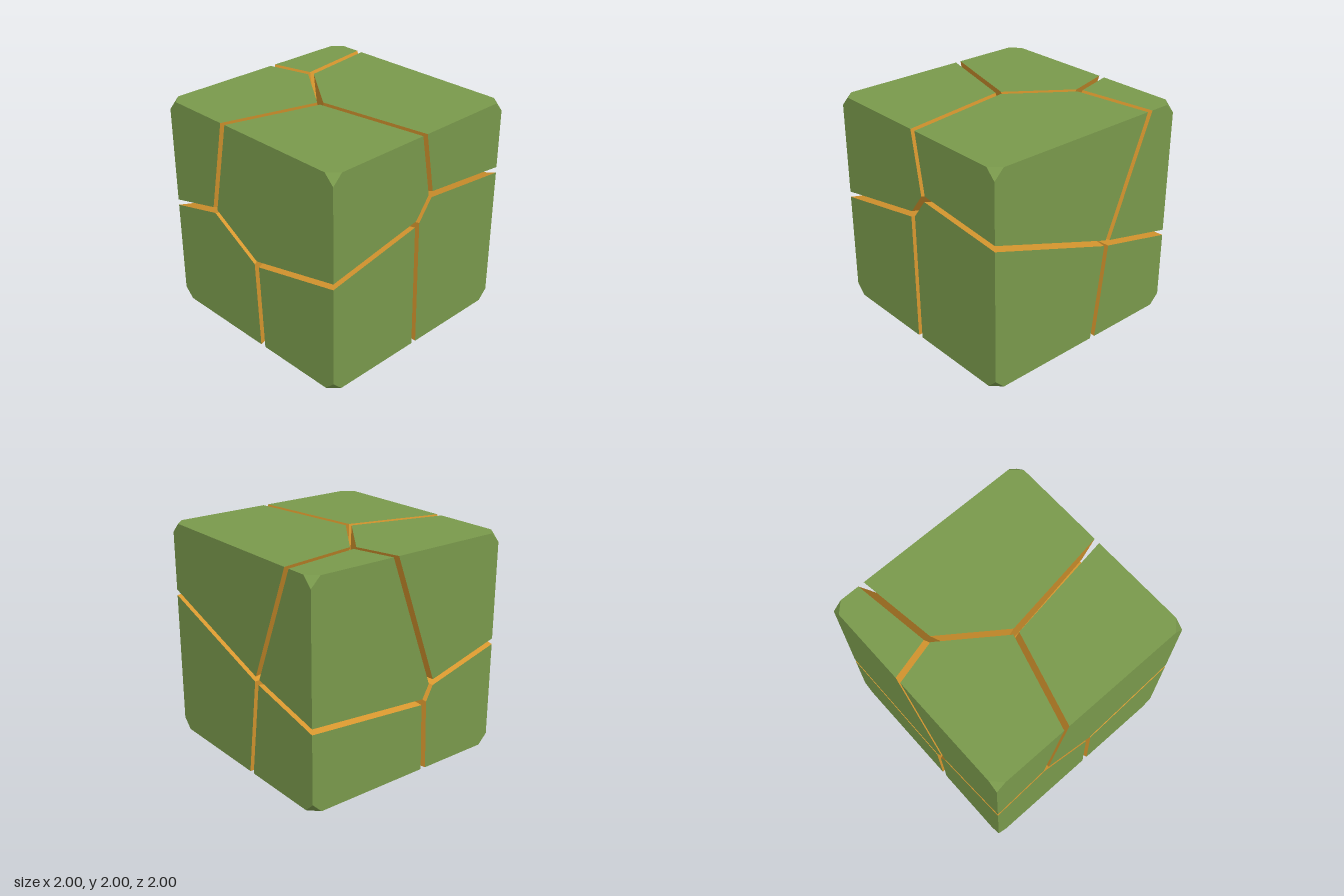
import * as THREE from 'three';

const V = (x, y, z) => new THREE.Vector3(x, y, z);
const HALF_GAP = 0.0255; // half the width of every crack
const BEVEL = 0.09; // corner cut of the whole block

// Cells are named by octant: L/R (x), T/B (y), F/K (front / back z).
const sign = { L: -1, R: 1, T: 1, B: -1, F: 1, K: -1 };
const octant = (c) => V(...[...c].map((k) => sign[k]));

// Points where cracks meet on each face of the block
const F1 = V(0.115, 1.43, 1), F2 = V(-0.04, 1.222, 1);
const T1 = V(0.27, 2, -0.6), T2 = V(-0.14, 2, -0.04);
const K1 = V(-0.27, 0.8, -1), K2 = V(-0.19, 0.65, -1);
const L1 = V(-1, 1.135, -0.455), L2 = V(-1, 0.83, 0.075);
const R = V(1, 0.915, -0.253), B = V(-0.01, 0, -0.19);

// Main cracks: the two cells, the point on the block edge, the junctions on both faces
const mainCracks = [
  ['LTF', 'RTF', V(0.01, 2, 1), F1, T2],
  ['RTF', 'RBF', V(1, 1.345, 1), F1, R],
  ['LTF', 'LBF', V(-1, 1.04, 1), F2, L2],
  ['LBF', 'RBF', V(-0.018, 0, 1), F2, B],
  ['LTK', 'RTK', V(0.165, 2, -1), T1, K1],
  ['RTF', 'RTK', V(1, 2, -0.7), T1, R],
  ['LTF', 'LTK', V(-1, 2, -0.28), T2, L1],
  ['RTK', 'RBK', V(1, 0.742, -1), K2, R],
  ['LTK', 'LBK', V(-1, 1, -1), K1, L1],
  ['LBK', 'RBK', V(-0.21, 0, -1), K2, B],
  ['RBF', 'RBK', V(1, 0, -0.13), R, B],
  ['LBF', 'LBK', V(-1, 0, 0.115), L2, B],
];

// Short diagonal cracks: the two cells, both junctions, and the third cell at each junction
const diagonalCracks = [
  ['LTF', 'RBF', F1, F2, 'RTF', 'LBF'],
  ['LTK', 'RTF', T1, T2, 'RTK', 'LTF'],
  ['RTK', 'LBK', K1, K2, 'LTK', 'RBK'],
  ['LTF', 'LBK', L1, L2, 'LTK', 'LBF'],
];

// Outer block: six sides and eight corner cuts, each as { n, d } with n.p <= d
function blockPlanes() {
  const planes = [];
  const add = (n, reach) => {
    n.normalize();
    planes.push({ n, d: n.dot(reach), material: 0 });
  };
  for (const s of [-1, 1]) {
    add(V(s, 0, 0), V(s, 1, 0));
    add(V(0, s, 0), V(0, 1 + s, 0));
    add(V(0, 0, s), V(0, 1, s));
    for (const t of [-1, 1]) for (const u of [-1, 1]) {
      add(V(s, t, u), V(s * (1 - BEVEL), 1 + t, u));
    }
  }
  return planes;
}

// Inner faces of every cell, set back from the crack planes
function crackPlanes() {
  const cells = {}, normals = {};
  const split = (a, b, n, p) => {
    n.normalize();
    if (n.dot(octant(b).sub(octant(a))) < 0) n.negate(); // points from a to b
    normals[a + b] = normals[b + a] = n;
    const d = n.dot(p);
    (cells[a] ??= []).push({ n, d: d - HALF_GAP, material: 1 });
    (cells[b] ??= []).push({ n: n.clone().negate(), d: -d - HALF_GAP, material: 1 });
  };
  for (const [a, b, e, p, q] of mainCracks) {
    split(a, b, p.clone().sub(e).cross(q.clone().sub(e)), e);
  }
  for (const [a, b, p, q, third, fourth] of diagonalCracks) {
    // direction in which the three-cell edge runs into the block
    const inward = (j, c) => {
      const dir = normals[a + c].clone().cross(normals[b + c]).normalize();
      return dir.dot(V(0, 1, 0).sub(j)) < 0 ? dir.negate() : dir;
    };
    const dir = inward(p, third).add(inward(q, fourth));
    split(a, b, q.clone().sub(p).cross(dir), p);
  }
  return cells;
}

// Keeps the part of a polygon inside a half-space
function clip(poly, { n, d }) {
  const out = [];
  poly.forEach((p, i) => {
    const q = poly[(i + 1) % poly.length];
    const a = n.dot(p) - d, b = n.dot(q) - d;
    if (a <= 0) out.push(p);
    if (a * b < 0) out.push(p.clone().lerp(q, a / (a - b)));
  });
  return out;
}

// Convex solid from half-spaces: a large square on each plane is trimmed by all the others
function convexSolid(planes) {
  const position = [], normal = [];
  const geometry = new THREE.BufferGeometry();
  for (const plane of planes) {
    const { n, d, material } = plane;
    const u = (Math.abs(n.y) < 0.9 ? V(0, 1, 0) : V(1, 0, 0)).cross(n).normalize();
    const v = n.clone().cross(u);
    let poly = [[-1, -1], [1, -1], [1, 1], [-1, 1]].map(([i, j]) =>
      n.clone().multiplyScalar(d).addScaledVector(u, 5 * i).addScaledVector(v, 5 * j));
    for (const other of planes) if (other !== plane) poly = clip(poly, other);
    if (poly.length < 3) continue;
    const start = position.length / 3;
    for (let i = 1; i < poly.length - 1; i++) {
      for (const p of [poly[0], poly[i], poly[i + 1]]) {
        position.push(p.x, p.y, p.z);
        normal.push(n.x, n.y, n.z);
      }
    }
    geometry.addGroup(start, position.length / 3 - start, material);
  }
  geometry.setAttribute('position', new THREE.Float32BufferAttribute(position, 3));
  geometry.setAttribute('normal', new THREE.Float32BufferAttribute(normal, 3));
  return geometry;
}

export function createModel() {
  const group = new THREE.Group();
  group.name = 'crackedBlock';
  const green = new THREE.MeshStandardMaterial({ color: 0x7a9a4c });
  green.name = 'green';
  const orange = new THREE.MeshStandardMaterial({ color: 0xd9982f });
  orange.name = 'orange';

  const words = { L: 'Right', R: 'Left', T: 'upper', B: 'lower', F: 'Front', K: 'Back' };
  const shell = blockPlanes();
  for (const [cell, cuts] of Object.entries(crackPlanes())) {
    const mesh = new THREE.Mesh(convexSolid([...shell, ...cuts]), [green, orange]);
    mesh.name = words[cell[1]] + words[cell[2]] + words[cell[0]] + 'Chunk';
    group.add(mesh);
  }
  return group;
}
